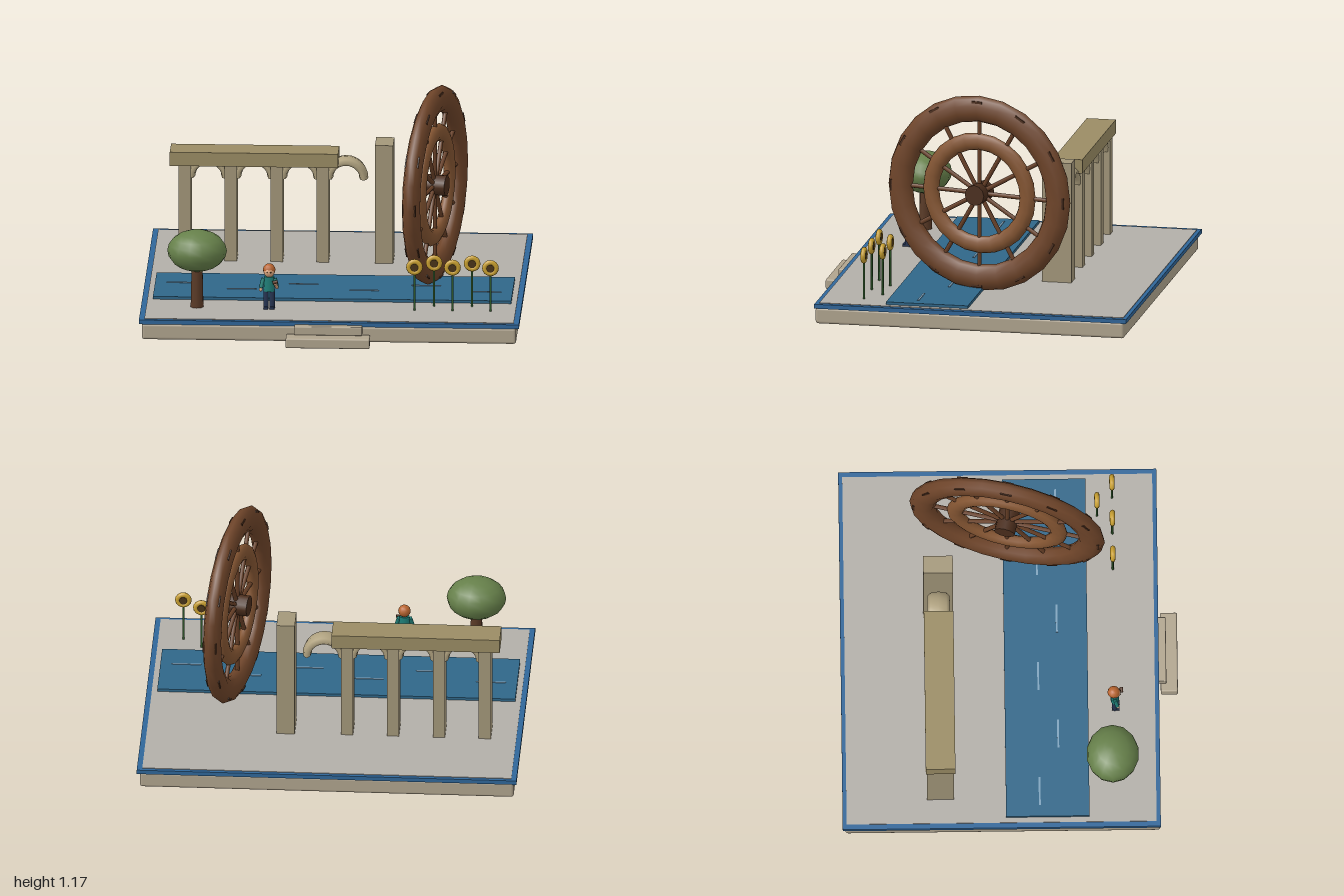
import * as THREE from 'three';
import { RoundedBoxGeometry } from 'three/addons/geometries/RoundedBoxGeometry.js';

const mat = (color) => new THREE.MeshStandardMaterial({ color });
const M = {
  stone: mat(0xb0a48e), floor: mat(0xb2aea8), blue: mat(0x2f6699), water: mat(0x2f6688), ripple: mat(0x7fa3bd),
  pillar: mat(0xa3977a), beam: mat(0x9a8c64), arch: mat(0xb0a280),
  rim: mat(0x6e4429), ring: mat(0x845532), spoke: mat(0x673f26), hub: mat(0x4a2d1c),
  trunk: mat(0x5a3a26), leaf: mat(0x66804a), stem: mat(0x2f5a2a), petal: mat(0xc9a030), seed: mat(0x4a3418),
  skin: mat(0xd9a47c), hair: mat(0xb8642f), shirt: mat(0x1f7f78), trousers: mat(0x263452),
};

function add(parent, name, geometry, material, x = 0, y = 0, z = 0) {
  const mesh = new THREE.Mesh(geometry, material);
  mesh.name = name;
  mesh.position.set(x, y, z);
  parent.add(mesh);
  return mesh;
}

function group(parent, name, x = 0, y = 0, z = 0) {
  const g = new THREE.Group();
  g.name = name;
  g.position.set(x, y, z);
  parent.add(g);
  return g;
}

// Box given by its lower and upper limits
function block(parent, name, material, [x0, x1], [y0, y1], [z0, z1], round = 0) {
  const size = [x1 - x0, y1 - y0, z1 - z0];
  const geo = round ? new RoundedBoxGeometry(...size, 2, round) : new THREE.BoxGeometry(...size);
  return add(parent, name, geo, material, (x0 + x1) / 2, (y0 + y1) / 2, (z0 + z1) / 2);
}

// Cylinder between two points
function rod(parent, name, material, a, b, r, sides = 8) {
  const p = new THREE.Vector3(...a), q = new THREE.Vector3(...b);
  const dir = q.clone().sub(p);
  const mesh = add(parent, name, new THREE.CylinderGeometry(r, r, dir.length(), sides), material);
  mesh.position.copy(p).add(q).multiplyScalar(0.5);
  mesh.quaternion.setFromUnitVectors(new THREE.Vector3(0, 1, 0), dir.normalize());
  return mesh;
}

const GROUND = 0.127;

function buildBase(root) {
  const g = group(root, 'base');
  block(g, 'plinth', M.stone, [-0.985, 0.985], [0.007, 0.095], [-0.872, 0.785], 0.015);
  block(g, 'blueTrim', M.blue, [-1, 1], [0.093, 0.116], [-0.886, 0.787]);
  block(g, 'floor', M.floor, [-0.972, 0.972], [0.1, 0.119], [-0.865, 0.765]);
  block(g, 'upperStep', M.stone, [-0.182, 0.176], [0.055, 0.102], [0.76, 0.826], 0.006);
  block(g, 'lowerStep', M.stone, [-0.224, 0.218], [0, 0.054], [0.796, 0.886], 0.008);
}

function buildRiver(root) {
  const g = group(root, 'river');
  block(g, 'water', M.water, [-0.943, 0.943], [0.119, 0.134], [-0.026, 0.413]);
  for (let i = 0; i < 6; i++) {
    const x = -0.804 + i * 0.322, z = i % 2 ? 0.253 : 0.152;
    block(g, 'ripple', M.ripple, [x - 0.078, x + 0.078], [0.13, 0.137], [z - 0.005, z + 0.005]);
  }
}

function buildAqueduct(root) {
  const g = group(root, 'aqueduct', 0, 0, -0.37);
  block(g, 'channelBeam', M.beam, [-0.886, 0], [0.64, 0.715], [-0.078, 0.078]);
  const arch = new THREE.TorusGeometry(0.092, 0.024, 8, 14, Math.PI).scale(1, 1, 2.5);
  for (let i = 0; i < 4; i++) {
    const x = -0.807 + i * 0.242;
    block(g, 'pillar', M.pillar, [x - 0.032, x + 0.032], [0.119, 0.642], [-0.07, 0.07]);
    add(g, 'arch', arch, M.arch, x + 0.121, 0.567, 0);
  }
  block(g, 'endPillar', M.pillar, [0.194, 0.29], [0.119, 0.766], [-0.078, 0.078]);
}

function buildWheel(root) {
  const g = group(root, 'waterWheel', 0.523, 0.642, -0.003);
  g.rotation.y = Math.PI / 2 - 0.235;
  const rim = new THREE.TorusGeometry(0.457, 0.07, 10, 24).scale(1, 1, 0.65);
  const ring = new THREE.TorusGeometry(0.28, 0.046, 10, 24).scale(1, 1, 0.65);
  add(g, 'outerRim', rim, M.rim);
  add(g, 'innerRing', ring, M.ring);
  add(g, 'hub', new THREE.CylinderGeometry(0.055, 0.055, 0.13, 12).rotateX(Math.PI / 2), M.hub);
  for (let i = 0; i < 12; i++) {
    const a = (i * Math.PI) / 6;
    rod(g, 'spoke', M.spoke, [0, 0, 0], [0.42 * Math.cos(a), 0.42 * Math.sin(a), 0], 0.012);
    // Narrow paddle slat set through the rim
    const slat = add(g, 'slat', new THREE.BoxGeometry(0.012, 0.06, 0.074), M.hub,
      0.497 * Math.cos(a), 0.497 * Math.sin(a), 0);
    slat.rotation.z = a;
  }
}

function buildTree(root) {
  const g = group(root, 'tree', -0.705, 0, 0.537);
  add(g, 'trunk', new THREE.CylinderGeometry(0.029, 0.035, 0.26, 10), M.trunk, 0, 0.25, 0);
  add(g, 'foliage', new THREE.SphereGeometry(1, 14, 10).scale(0.157, 0.11, 0.139), M.leaf, 0, 0.427, 0);
}

function buildFlowers(root) {
  for (let i = 0; i < 5; i++) {
    const g = group(root, 'sunflower', 0.44 + i * 0.1, 0, i % 2 ? 0.472 : 0.552);
    rod(g, 'stem', M.stem, [0, 0.119, 0], [0, 0.33, 0], 0.006, 6);
    add(g, 'petals', new THREE.TorusGeometry(0.03, 0.014, 8, 16), M.petal, 0, 0.355, 0);
    add(g, 'seedHead', new THREE.CylinderGeometry(0.021, 0.021, 0.026, 12).rotateX(Math.PI / 2), M.seed, 0, 0.355, 0);
  }
}

function buildPerson(root) {
  const g = group(root, 'person', -0.325, 0, 0.553);
  for (const s of [-1, 1]) {
    rod(g, 'leg', M.trousers, [s * 0.016, GROUND - 0.006, 0], [s * 0.016, 0.225, 0], 0.014);
    add(g, 'shoe', new THREE.BoxGeometry(0.024, 0.012, 0.04), M.trousers, s * 0.016, GROUND, 0.005);
    add(g, 'eye', new THREE.SphereGeometry(0.004, 6, 4), M.seed, s * 0.01, 0.324, 0.028);
  }
  add(g, 'torso', new THREE.CylinderGeometry(0.028, 0.03, 0.08, 10).scale(1, 1, 0.75), M.shirt, 0, 0.255, 0);
  add(g, 'head', new THREE.SphereGeometry(0.029, 12, 8), M.skin, 0, 0.32, 0.002);
  add(g, 'hair', new THREE.SphereGeometry(0.033, 12, 8), M.hair, 0, 0.33, -0.006);
  // Right arm hangs, left arm is bent upwards with a small object in the hand
  rod(g, 'rightSleeve', M.shirt, [-0.03, 0.285, 0], [-0.043, 0.235, 0.012], 0.011);
  add(g, 'rightHand', new THREE.SphereGeometry(0.01, 8, 6), M.skin, -0.044, 0.226, 0.015);
  rod(g, 'leftSleeve', M.shirt, [0.03, 0.285, 0], [0.042, 0.237, 0.012], 0.011);
  rod(g, 'leftForearm', M.skin, [0.042, 0.237, 0.012], [0.034, 0.265, 0.035], 0.009);
  rod(g, 'heldObject', M.trunk, [0.02, 0.27, 0.036], [0.046, 0.276, 0.034], 0.009);
}

export function createModel() {
  const root = new THREE.Group();
  root.name = 'waterWheelDiorama';
  buildBase(root);
  buildRiver(root);
  buildAqueduct(root);
  buildWheel(root);
  buildTree(root);
  buildFlowers(root);
  buildPerson(root);
  return root;
}
